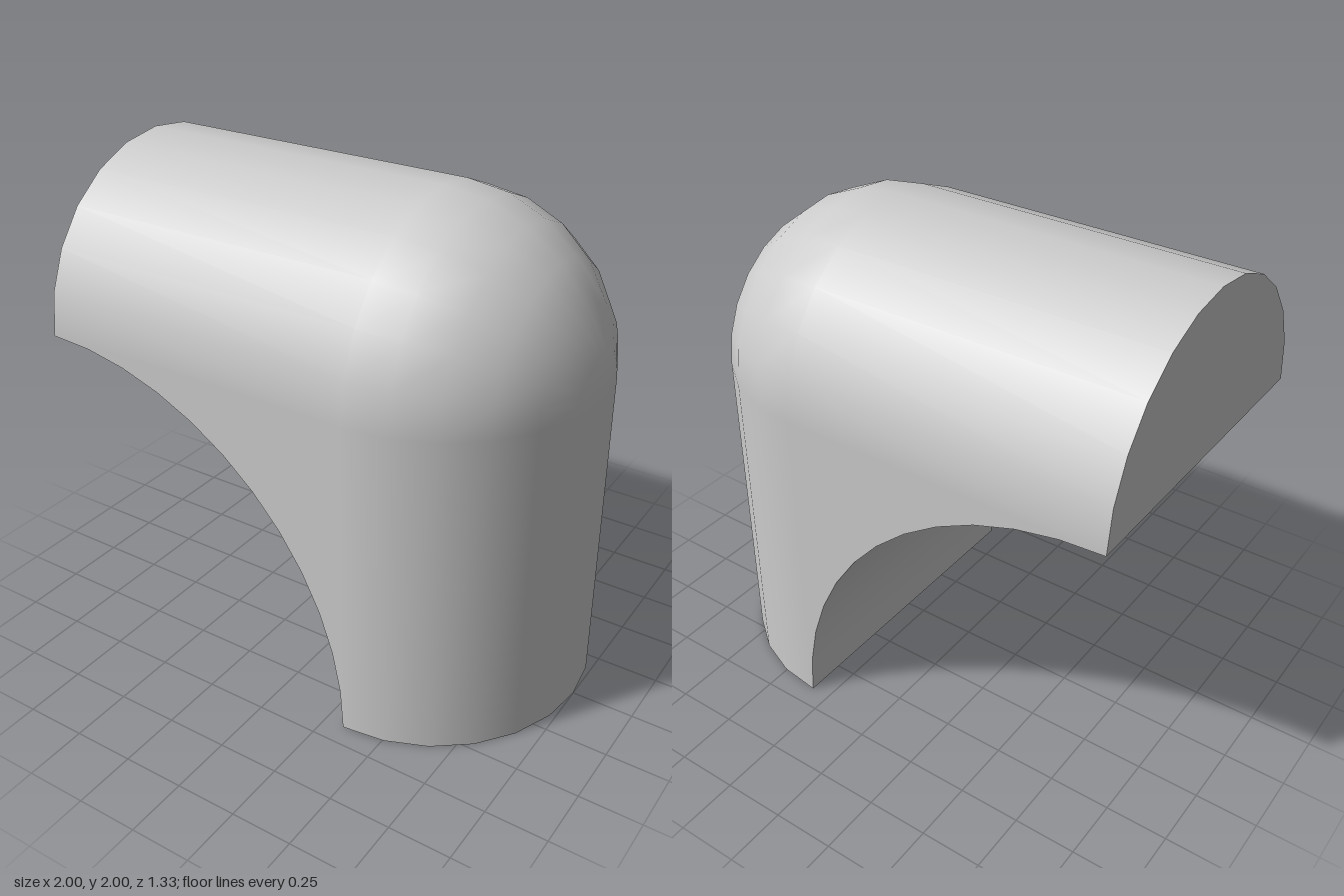
import * as THREE from 'three';

const R = 2 / 3;      // half-round radius
const ARC = 4 / 3;    // radius of the concave underside
const SEG = 12;       // segments per half circle

// Point on the concave arc, t = 0 at the upright's foot, 1 at the arm's tip
const arcPoint = (t) => {
  const a = t * Math.PI / 2;
  return new THREE.Vector2(-1 + ARC * Math.cos(a), ARC * Math.sin(a));
};

// Flat cheek outline between upright, arm and concave arc; m = -1 mirrors it in x
function cheekGeometry(m) {
  const points = [new THREE.Vector2(m / 3, ARC)];
  for (let i = SEG; i >= 0; i--) {
    const p = arcPoint(i / SEG);
    points.push(new THREE.Vector2(p.x * m, p.y));
  }
  return new THREE.ShapeGeometry(new THREE.Shape(points)).translate(0, 0, R);
}

// Plane bent along the arc so that it faces the arc's centre
function undersideGeometry() {
  const geometry = new THREE.PlaneGeometry(1, 2 * R, SEG, 1);
  const pos = geometry.attributes.position;
  for (let i = 0; i < pos.count; i++) {
    const p = arcPoint(0.5 - pos.getX(i));
    pos.setXYZ(i, p.x, p.y, pos.getY(i));
  }
  geometry.computeVertexNormals();
  return geometry;
}

export function createModel() {
  const group = new THREE.Group();
  const material = new THREE.MeshStandardMaterial({ color: 0xcccccc });
  const add = (name, geometry) => {
    const mesh = new THREE.Mesh(geometry, material);
    mesh.name = name;
    group.add(mesh);
  };
  const halfPi = Math.PI / 2;

  // Horizontal arm: upper half cylinder along x, with its end face
  add('arm', new THREE.CylinderGeometry(R, R, ARC, SEG, 1, true, Math.PI, Math.PI)
    .rotateZ(-halfPi).translate(-1 / 3, ARC, 0));
  add('armEnd', new THREE.CircleGeometry(R, SEG, 0, Math.PI)
    .rotateY(-halfPi).translate(-1, ARC, 0));

  // Upright: outer half cylinder along y, with its foot face
  add('upright', new THREE.CylinderGeometry(R, R, ARC, SEG, 1, true, 0, Math.PI)
    .translate(1 / 3, ARC / 2, 0));
  add('uprightFoot', new THREE.CircleGeometry(R, SEG, -halfPi, Math.PI)
    .rotateX(halfPi).translate(1 / 3, 0, 0));

  // Rounded corner: quarter sphere with its pole on +x
  add('corner', new THREE.SphereGeometry(R, SEG, SEG / 2, -halfPi, Math.PI, 0, halfPi)
    .rotateZ(-halfPi).translate(1 / 3, ARC, 0));

  // Web: two flat cheeks and the concave underside
  add('frontCheek', cheekGeometry(1));
  add('backCheek', cheekGeometry(-1).rotateY(Math.PI));
  add('underside', undersideGeometry());

  return group;
}
